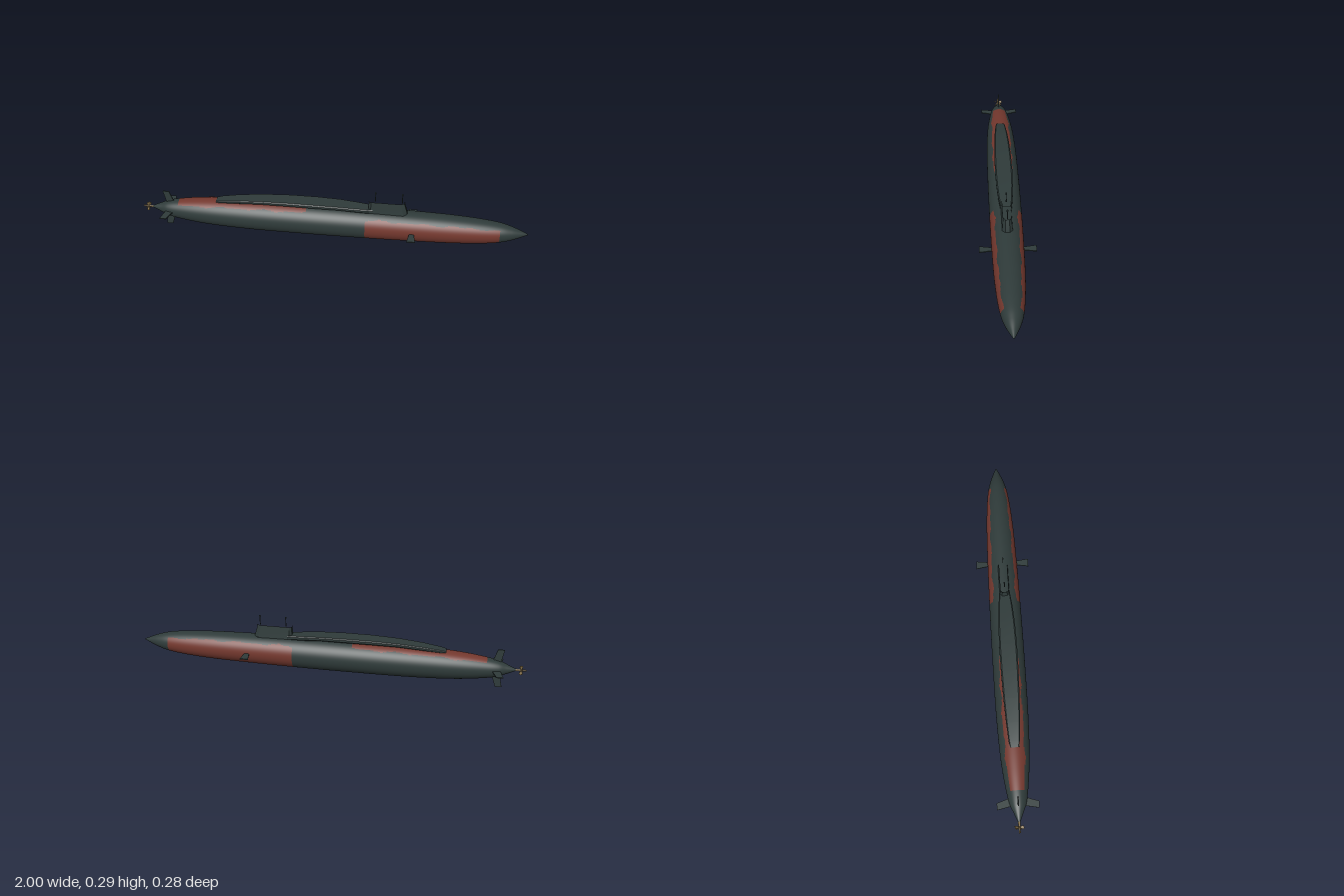
import * as THREE from 'three';
import { toCreasedNormals } from 'three/addons/utils/BufferGeometryUtils.js';

const AXIS_Y = 0.103;

// Skin a list of closed rings; paint(i, j) picks the material index of a quad
function loft(rings, paint = () => 0) {
  const n = rings[0].length, last = rings.length - 1;
  const pos = rings.flat(2);
  const lists = [[], []];
  for (let i = 0; i < last; i++) {
    for (let j = 0; j < n; j++) {
      const k = (j + 1) % n, a = i * n + j, b = i * n + k;
      lists[paint(i, j)].push(a, a + n, b, b, a + n, b + n);
    }
  }
  for (let j = 1; j < n - 1; j++) {
    lists[0].push(0, j + 1, j, last * n, last * n + j, last * n + j + 1);
  }
  const geo = new THREE.BufferGeometry();
  geo.setAttribute('position', new THREE.Float32BufferAttribute(pos, 3));
  geo.setIndex([...lists[0], ...lists[1]]);
  geo.addGroup(0, lists[0].length, 0);
  if (lists[1].length) geo.addGroup(lists[0].length, lists[1].length, 1);
  geo.computeVertexNormals();
  return geo;
}

// Thin plate: outline in (x, distance from hull axis)
function plate(outline, thickness) {
  const shape = new THREE.Shape(outline.map(([x, r]) => new THREE.Vector2(x, r)));
  const geo = new THREE.ExtrudeGeometry(shape, { depth: thickness, bevelEnabled: false });
  geo.translate(0, 0, -thickness / 2);
  return geo;
}

export function createModel() {
  const group = new THREE.Group();
  const material = (name, color) => {
    const m = new THREE.MeshStandardMaterial({ color });
    m.name = name;
    return m;
  };
  const dark = material('dark grey green', 0x2f3b3a);
  const red = material('rust red', 0x74382e);
  const brass = material('brass', 0x85704a);
  const add = (name, geo, mat, parent = group) => {
    const mesh = new THREE.Mesh(geo, mat);
    mesh.name = name;
    parent.add(mesh);
    return mesh;
  };

  // Hull: round sections along x, with wavy-edged red patches
  const profile = new THREE.SplineCurve([
    [-0.95, 0.004], [-0.9, 0.025], [-0.86, 0.041], [-0.8, 0.053], [-0.7, 0.066], [-0.58, 0.075],
    [-0.4, 0.081], [-0.2, 0.0825], [0, 0.0825], [0.2, 0.081], [0.4, 0.078], [0.6, 0.073],
    [0.75, 0.064], [0.85, 0.052], [0.91, 0.037], [0.96, 0.018], [0.997, 0.002],
  ].map(([x, r]) => new THREE.Vector2(x, r))).getPoints(200);
  const SIDES = 108;
  const hullRings = profile.map(({ x, y: r }) => Array.from({ length: SIDES }, (_, j) => {
    const a = (j / SIDES) * Math.PI * 2;
    return [x, AXIS_Y + r * Math.sin(a), r * Math.cos(a)];
  }));
  const paintHull = (i, j) => {
    const x = (profile[i].x + profile[i + 1].x) / 2;
    const a = ((j + 0.5) / SIDES) * Math.PI * 2;
    // Elevation above the waterline in degrees, alike on both sides
    const lift = Math.asin(Math.sin(a)) * 180 / Math.PI;
    const wave = 2.5 * Math.sin(x * 31) + 2 * Math.sin(x * 53 + 1);
    const fore = x > 0.18 && x < 0.85 && lift < 44 + wave;
    const aft = x > -0.8 && x < -0.12 && lift > 50 + 8 * (x + 0.5) + wave;
    return fore || aft ? 1 : 0;
  };
  add('hull', loft(hullRings, paintHull), [dark, red]);

  // Raised deck casing behind the sail: x, half width, bottom, top
  const casingRings = [
    [-0.6, 0.022, 0.168, 0.181], [-0.57, 0.027, 0.17, 0.187], [-0.48, 0.034, 0.178, 0.199],
    [-0.36, 0.04, 0.187, 0.209], [-0.22, 0.044, 0.189, 0.214], [-0.08, 0.045, 0.189, 0.214],
    [0.04, 0.042, 0.188, 0.211], [0.13, 0.036, 0.18, 0.205], [0.21, 0.027, 0.172, 0.2],
  ].map(([x, w, lo, hi]) => {
    const h = hi - lo;
    const half = [[0.72, 0], [1, 0.35], [1, 0.8], [0.85, 1]].map(([z, y]) => [z * w, lo + y * h]);
    const ring = [...half, ...half.map(([z, y]) => [-z, y]).reverse()];
    return ring.map(([z, y]) => [x, y, z]);
  });
  add('deckCasing', toCreasedNormals(loft(casingRings), 0.5), dark);

  // Sail: chamfered plan drawn up from the hull
  const sailRing = (y, back, front, w) => [
    [front, 0.45], [front - 0.02, 1], [back + 0.012, 1], [back, 0.6],
    [back, -0.6], [back + 0.012, -1], [front - 0.02, -1], [front, -0.45],
  ].map(([x, z]) => [x, y, z * w]);
  const sail = loft([
    sailRing(0.165, 0.185, 0.388, 0.027),
    sailRing(0.192, 0.187, 0.383, 0.024),
    sailRing(0.243, 0.19, 0.368, 0.02),
    sailRing(0.243, 0.187, 0.371, 0.023),
    sailRing(0.247, 0.187, 0.371, 0.023),
  ]);
  add('sail', toCreasedNormals(sail, 0.4), dark);

  // Masts with small heads
  for (const x of [0.222, 0.357]) {
    const pole = add('mast', new THREE.CylinderGeometry(0.0022, 0.0025, 0.05, 10), dark);
    pole.position.set(x, 0.266, 0);
    const head = add('mastHead', new THREE.CylinderGeometry(0.004, 0.004, 0.008, 12), dark);
    head.position.set(x, 0.289, 0);
  }

  // Bow planes, wider at the tip
  const bowPlane = plate([[0.403, 0.07], [0.425, 0.07], [0.434, 0.138], [0.391, 0.138]], 0.005);
  for (const side of [1, -1]) {
    const mesh = add('bowPlane', bowPlane, dark);
    mesh.position.y = AXIS_Y;
    mesh.rotation.x = side * Math.PI / 2;
  }

  // Four swept tail fins
  const tailFin = plate([[-0.868, 0.02], [-0.825, 0.03], [-0.838, 0.06], [-0.852, 0.103], [-0.885, 0.103]], 0.005);
  for (let k = 0; k < 4; k++) {
    const mesh = add('tailFin', tailFin, dark);
    mesh.position.y = AXIS_Y;
    mesh.rotation.x = k * Math.PI / 2;
  }

  // Propeller: hub, cone and pitched blades
  const propeller = new THREE.Group();
  propeller.name = 'propeller';
  propeller.position.set(-0.972, AXIS_Y, 0);
  group.add(propeller);
  const hub = add('propellerHub', new THREE.CylinderGeometry(0.006, 0.004, 0.054, 16), brass, propeller);
  hub.rotation.z = -Math.PI / 2;
  const bladeGeo = plate([[-0.003, 0.003], [0.003, 0.003], [0.009, 0.015], [0.007, 0.023], [-0.007, 0.023], [-0.009, 0.015]], 0.003);
  bladeGeo.rotateY(0.6);
  for (let k = 0; k < 5; k++) {
    const blade = add('propellerBlade', bladeGeo, brass, propeller);
    blade.rotation.x = (k / 5) * Math.PI * 2;
  }
  return group;
}
